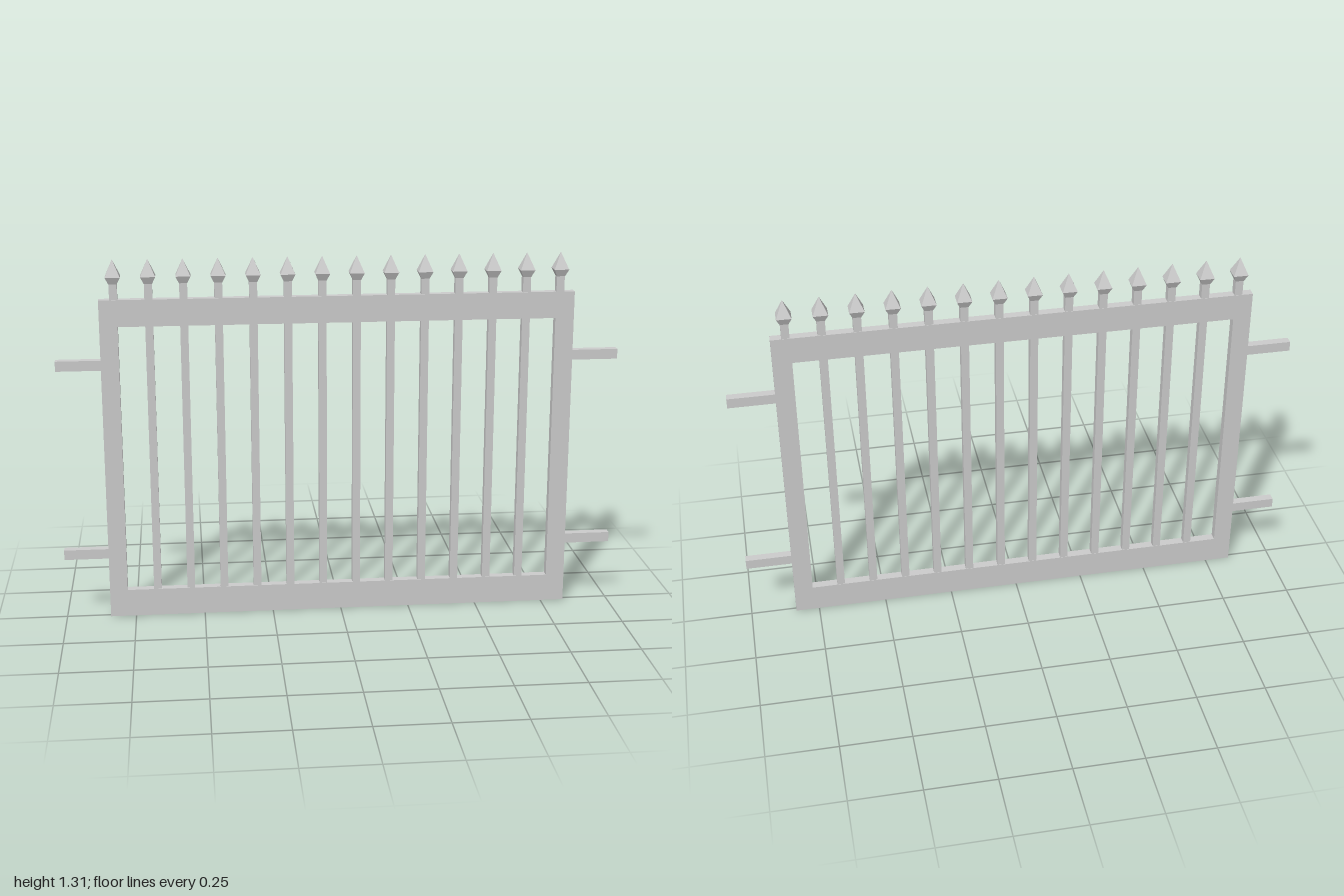
import * as THREE from 'three';

const DEPTH = 0.031;
const BAR = 0.028;
const COUNT = 14;
const FIRST = -0.79;
const SPACING = 0.121;

const material = new THREE.MeshStandardMaterial({ color: 0xcccccc, flatShading: true });

function addMesh(parent, name, geometry, x = 0, y = 0) {
  const mesh = new THREE.Mesh(geometry, material);
  mesh.name = name;
  mesh.position.set(x, y, 0);
  parent.add(mesh);
  return mesh;
}

// Closed rectangle from two opposite corners
function rectangle(PathType, x0, y0, x1, y1) {
  const path = new PathType();
  path.moveTo(x0, y0).lineTo(x1, y0).lineTo(x1, y1).lineTo(x0, y1).closePath();
  return path;
}

export function createModel() {
  const fence = new THREE.Group();
  fence.name = 'fencePanel';

  // Frame: flat plate with one large opening
  const outline = rectangle(THREE.Shape, -0.842, 0, 0.835, 1.17);
  outline.holes.push(rectangle(THREE.Path, -0.778, 0.1, 0.768, 1.075));
  const frame = new THREE.ExtrudeGeometry(outline, { depth: DEPTH, bevelEnabled: false });
  frame.translate(0, 0, -DEPTH / 2);
  addMesh(fence, 'frame', frame);

  // Square spearhead: flared collar, then a pyramid tip
  const profile = [[0, 0], [0.0145, 0], [0.026, 0.025], [0, 0.085]]
    .map(([half, y]) => new THREE.Vector2(half * Math.SQRT2, y));
  const spearhead = new THREE.LatheGeometry(profile, 4).rotateY(Math.PI / 4);

  // Bars with spearheads; the end ones rise from the frame posts
  for (let i = 0; i < COUNT; i++) {
    const picket = new THREE.Group();
    picket.name = 'picket';
    picket.position.x = FIRST + i * SPACING;
    const atPost = i === 0 || i === COUNT - 1;
    const bottom = atPost ? 1.15 : 0.09;
    const top = 1.228;
    addMesh(picket, 'bar', new THREE.BoxGeometry(BAR, top - bottom, BAR), 0, (top + bottom) / 2);
    addMesh(picket, 'spearhead', spearhead, 0, 1.225);
    fence.add(picket);
  }

  // Mounting pegs on both sides
  for (const y of [0.242, 0.939]) {
    for (const [inner, outer] of [[-0.835, -1], [0.828, 1]]) {
      const peg = new THREE.BoxGeometry(Math.abs(outer - inner), 0.036, 0.03);
      addMesh(fence, 'mountingPeg', peg, (inner + outer) / 2, y);
    }
  }

  return fence;
}
